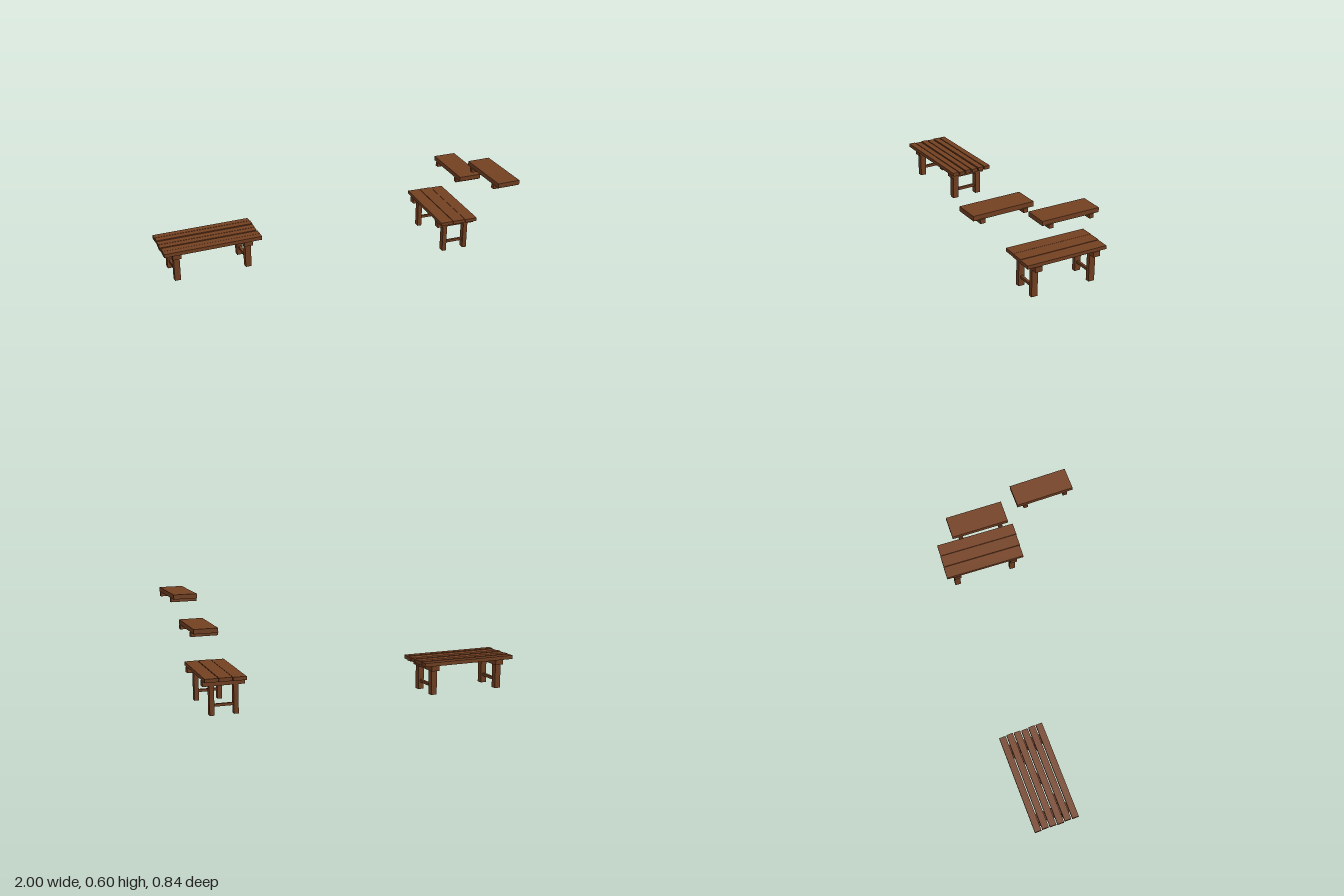
import * as THREE from 'three';

const wood = new THREE.MeshStandardMaterial({ color: 0x744122 });
wood.name = 'brownWood';

// Box between heights y0 and y1, centred on x, z
function board(parent, name, w, y0, y1, d, x, z, turn = 0) {
  const mesh = new THREE.Mesh(new THREE.BoxGeometry(w, y1 - y0, d), wood);
  mesh.name = name;
  mesh.position.set(x, (y0 + y1) / 2, z);
  mesh.rotation.y = turn;
  parent.add(mesh);
}

function piece(root, name, x, z, turn) {
  const g = new THREE.Group();
  g.name = name;
  g.position.set(x, 0, z);
  g.rotation.y = turn;
  root.add(g);
  return g;
}

export function createModel() {
  const root = new THREE.Group();
  root.name = 'furnitureSet';

  // Long slatted table, running along its local x
  const table = piece(root, 'slattedTable', -0.695, -0.088, 0.168);
  const shift = [0, 0.002, 0.001, -0.002, 0.002, 0];
  const lift = [0, 0.002, -0.001, 0.001, -0.001, 0.002];
  shift.forEach((s, i) => {
    board(table, 'tableSlat', 0.58, 0.179 + lift[i], 0.201 + lift[i], 0.038, s, (i - 2.5) * 0.0448);
  });
  for (const sx of [-1, 1]) {
    const x = sx * 0.213;
    board(table, 'tableBeam', 0.05, 0.146, 0.18, 0.225, x, 0);
    board(table, 'tableStretcher', 0.016, 0.046, 0.062, 0.15, x, 0);
    for (const sz of [-1, 1]) board(table, 'tableLeg', 0.035, 0.004, 0.147, 0.036, x, sz * 0.08);
  }
  // Flat diagonal brace under the slats
  board(table, 'tableBrace', 0.41, 0.168, 0.181, 0.018, 0, 0, 0.3);

  // Three-plank table, running along its local z
  const bench = piece(root, 'plankTable', 0.754, -0.165, 0.122);
  for (const i of [-1, 0, 1]) {
    board(bench, 'benchPlank', 0.074, 0.193, 0.214 - Math.abs(i) * 0.001, 0.485, i * 0.077, 0.002 * i);
  }
  for (const sz of [-1, 1]) {
    const z = sz * 0.178;
    board(bench, 'benchBeam', 0.235, 0.163, 0.193, 0.042, 0, z);
    board(bench, 'benchStretcher', 0.13, 0.046, 0.061, 0.014, 0, z);
    for (const sx of [-1, 1]) board(bench, 'benchLeg', 0.026, 0, 0.164, 0.036, sx * 0.067, z);
  }
  board(bench, 'benchBrace', 0.018, 0.174, 0.193, 0.37, 0, 0, 0.4);

  // Raised shelves with two battens underneath
  for (const [x, y, z, turn] of [[0.906, 0.57, 0.241, 0.155], [0.837, 0.441, -0.159, 0.134]]) {
    const shelf = piece(root, 'shelf', x, z, turn);
    board(shelf, 'shelfBoard', 0.133, y, y + 0.026, 0.342, 0, 0);
    for (const s of [-1, 1]) board(shelf, 'shelfBatten', 0.148, y - 0.02, y + 0.003, 0.026, 0, s * 0.122);
  }
  return root;
}
